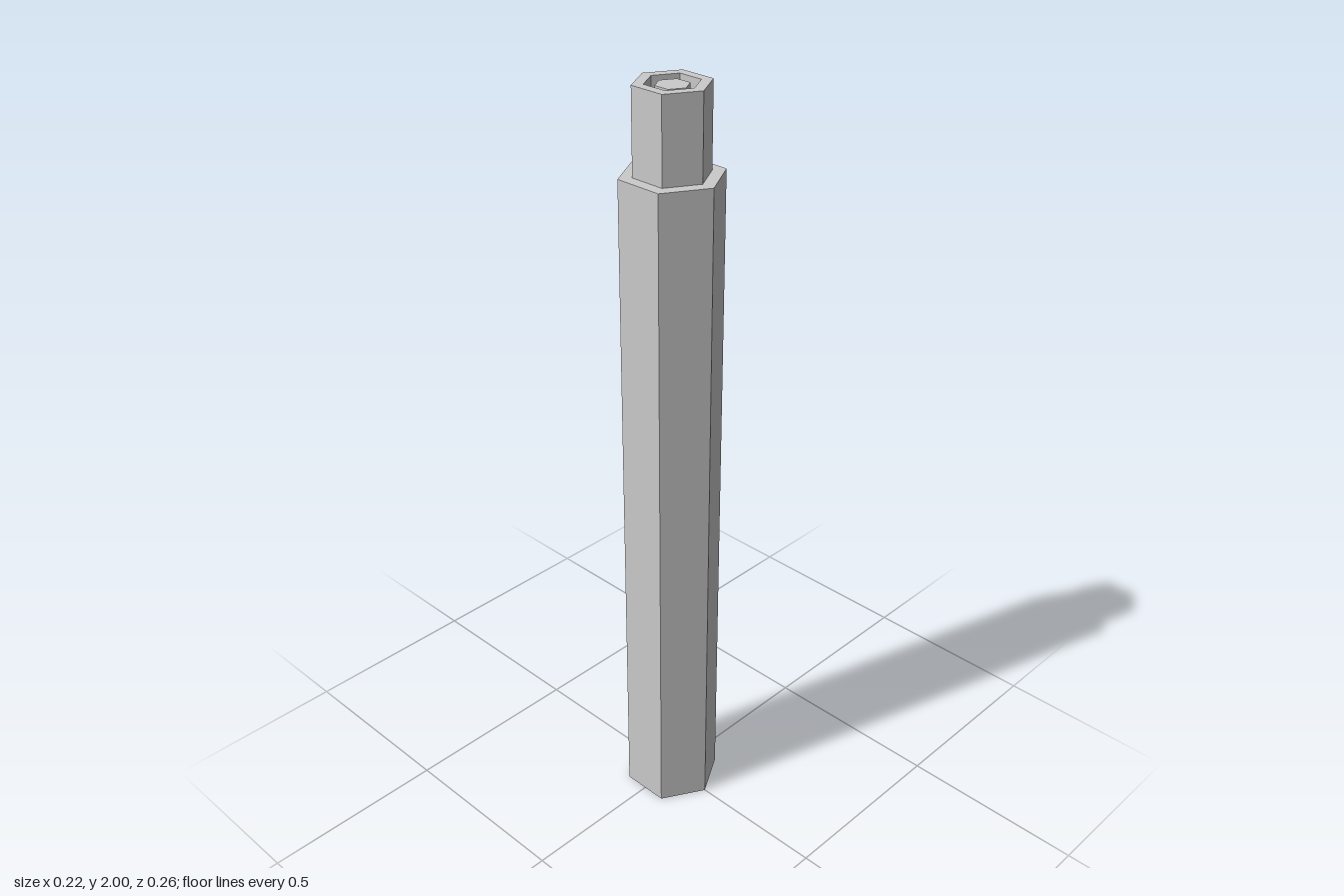
import * as THREE from 'three';

const material = new THREE.MeshStandardMaterial({
  color: 0xcccccc, flatShading: true, side: THREE.DoubleSide,
});

// Six-sided shell from [radius, height] pairs, with corners on the z axis
function hexShell(name, profile) {
  const points = profile.map(([r, y]) => new THREE.Vector2(r, y));
  const mesh = new THREE.Mesh(new THREE.LatheGeometry(points, 6), material);
  mesh.name = name;
  return mesh;
}

export function createModel() {
  const model = new THREE.Group();
  model.name = 'hexagonalRod';

  // Long body, open at the bottom, closed by a flat shoulder
  model.add(hexShell('body', [[0.128, 0], [0.128, 1.79], [0.094, 1.79]]));

  // Narrow neck with a flat rim and a shallow recess
  model.add(hexShell('neck', [[0.094, 1.79], [0.094, 2], [0.066, 2], [0.066, 1.96], [0.041, 1.96]]));

  // Small core standing in the recess
  model.add(hexShell('core', [[0.041, 1.96], [0.041, 1.995], [0, 1.995]]));

  return model;
}
